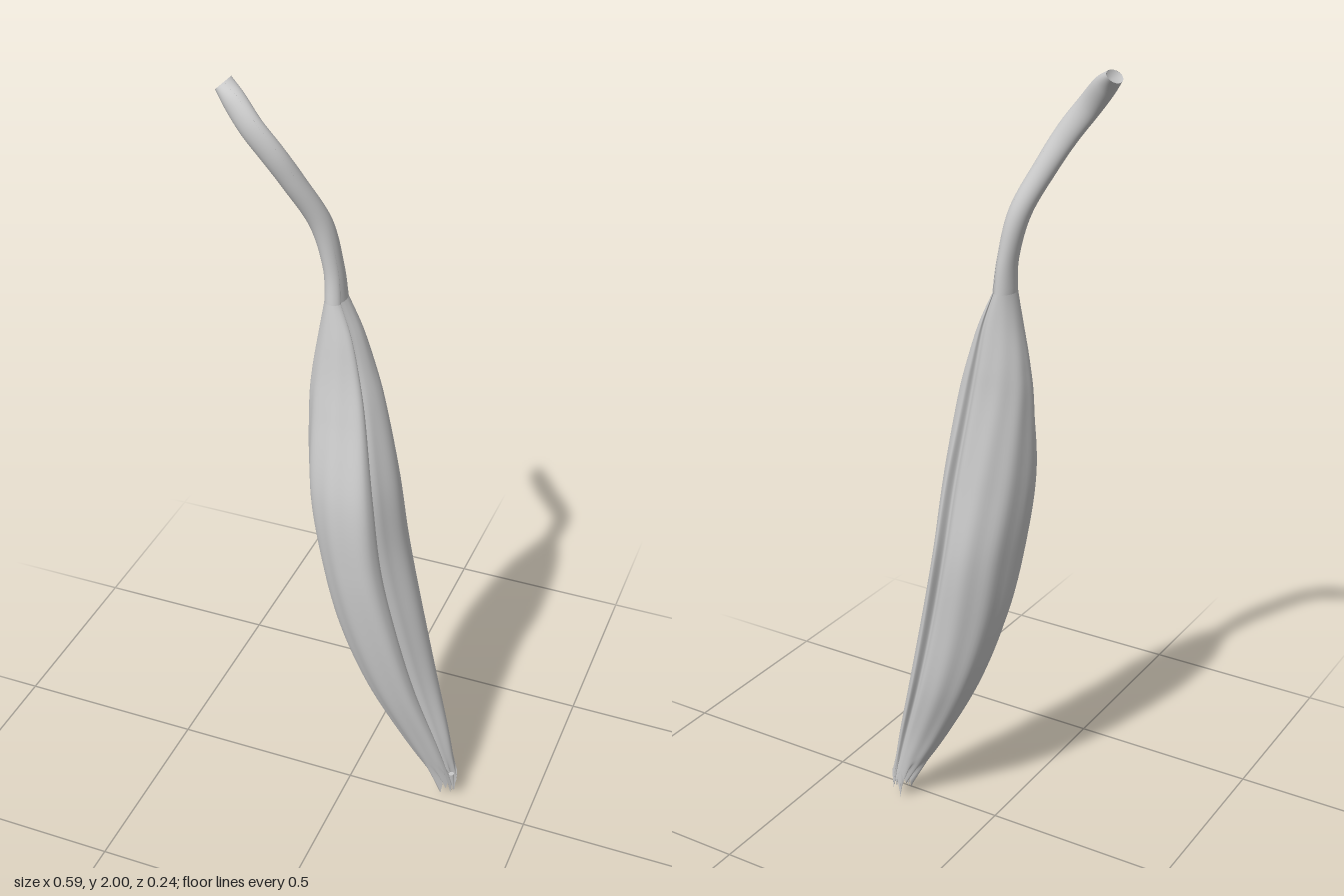
import * as THREE from 'three';

const material = new THREE.MeshStandardMaterial({ color: 0xcccccc, side: THREE.DoubleSide });
const COLS = 96;

// Closed outline of the husk (x, z in -1..1): front lip, groove, side face, rear seam
const huskCurve = new THREE.CatmullRomCurve3([
  [-1, 0.05], [-0.8, 0.6], [-0.35, 0.92], [0.25, 1], [0.72, 0.86], [0.82, 0.62],
  [0.52, 0.38], [0.76, 0.1], [1, -0.3], [0.96, -0.78], [0.74, -0.96], [0.58, -0.8],
  [0.3, -1], [-0.3, -0.92], [-0.8, -0.55],
].map(([x, z]) => new THREE.Vector3(x, 0, z)), true, 'centripetal');

const outline = [];
for (let j = 0; j < COLS; j++) {
  const p = huskCurve.getPoint(j / COLS);
  const a = Math.atan2(p.z, p.x);
  outline.push({ x: p.x, z: p.z, a });
}

// Sections from top to bottom: y, x min, x max, z min, z max, tilt, husk amount
const stemRows = [
  [1.984, -0.300, -0.272, -0.008, 0.052, 0.9, 0],
  [1.955, -0.272, -0.232, 0.015, 0.066, 0.95, 0],
  [1.905, -0.230, -0.185, 0.032, 0.075, 0.85, 0],
  [1.845, -0.187, -0.139, 0.020, 0.067, 0.7, 0],
  [1.775, -0.150, -0.101, -0.008, 0.046, 0.5, 0],
  [1.670, -0.104, -0.053, -0.048, 0.010, 0.25, 0],
  [1.560, -0.077, -0.031, -0.062, 0.000, 0.05, 0.1],
  [1.480, -0.072, -0.022, -0.066, 0.008, 0, 0.35],
];
const podRows = [
  stemRows[7],
  [1.40, -0.085, 0.015, -0.070, 0.024, 0, 0.65],
  [1.30, -0.100, 0.045, -0.076, 0.042, 0, 0.9],
  [1.20, -0.105, 0.070, -0.082, 0.066, 0, 1],
  [1.00, -0.097, 0.108, -0.102, 0.117, 0, 1],
  [0.80, -0.067, 0.132, -0.120, 0.125, 0, 1],
  [0.60, -0.025, 0.172, -0.114, 0.109, 0, 1],
  [0.40, 0.045, 0.215, -0.103, 0.076, 0, 1],
  [0.20, 0.148, 0.266, -0.074, 0.027, 0, 1],
  [0.05, 0.243, 0.293, -0.062, -0.012, 0, 0.8],
];

// Smoothly interpolates every value of the section rows
function sample(rows, t) {
  const f = t * (rows.length - 1);
  const i = Math.min(Math.floor(f), rows.length - 2);
  const at = (k) => rows[Math.max(0, Math.min(rows.length - 1, k))];
  const w = f - i;
  return rows[0].map((_, k) => {
    const [p0, p1, p2, p3] = [at(i - 1)[k], at(i)[k], at(i + 1)[k], at(i + 2)[k]];
    const m1 = (p2 - p0) / 2, m2 = (p3 - p1) / 2;
    return p1 + w * (m1 + w * (3 * (p2 - p1) - 2 * m1 - m2 + w * (2 * (p1 - p2) + m1 + m2)));
  });
}

// Skins the sections into one smooth surface
function loft(name, rows, steps, ragged) {
  const pos = [], index = [];
  for (let i = 0; i <= steps; i++) {
    const t = i / steps;
    const [y, x0, x1, z0, z1, tilt, husk] = sample(rows, t);
    const rx = (x1 - x0) / 2, rz = (z1 - z0) / 2;
    outline.forEach(({ x, z, a }, j) => {
      // lengthwise wrinkles that drift slowly around the husk
      const ripple = 1 - husk * 0.018 * (1 + Math.sin(9 * a + 3 * y + Math.sin(5 * y)));
      const u = THREE.MathUtils.lerp(Math.cos(a), x * ripple, husk) * rx;
      const v = THREE.MathUtils.lerp(Math.sin(a), z * ripple, husk) * rz;
      // torn lower rim
      const tear = ragged * Math.max(0, t - 0.93) / 0.07 * (0.02 * Math.sin(j * 0.9) + 0.015 * Math.sin(j * 0.37));
      pos.push((x0 + x1) / 2 + u, y + tilt * u + tear, (z0 + z1) / 2 + v);
      if (i < steps) {
        const p = i * COLS + j, q = i * COLS + (j + 1) % COLS;
        index.push(p, p + COLS, q, q, p + COLS, q + COLS);
      }
    });
  }
  const geometry = new THREE.BufferGeometry();
  geometry.setAttribute('position', new THREE.Float32BufferAttribute(pos, 3));
  geometry.setIndex(index);
  geometry.computeVertexNormals();
  const mesh = new THREE.Mesh(geometry, material);
  mesh.name = name;
  return mesh;
}

// Thin torn fibre hanging from the lower rim
function fibre(from, to, radius) {
  const a = new THREE.Vector3(...from), d = new THREE.Vector3(...to).sub(a);
  const geometry = new THREE.ConeGeometry(radius, d.length(), 6);
  geometry.translate(0, d.length() / 2, 0);
  const mesh = new THREE.Mesh(geometry, material);
  mesh.position.copy(a);
  mesh.quaternion.setFromUnitVectors(new THREE.Vector3(0, 1, 0), d.normalize());
  mesh.name = 'fibre';
  return mesh;
}

export function createModel() {
  const group = new THREE.Group();
  group.name = 'driedPod';
  group.add(loft('stem', stemRows, 56, 0), loft('husk', podRows, 110, 1));

  // Sunken cut face closing the stem tip
  const [y, x0, x1, z0, z1, tilt] = stemRows[0];
  const cut = new THREE.CircleGeometry(1, 24).rotateX(-Math.PI / 2);
  const p = cut.attributes.position;
  for (let i = 0; i < p.count; i++) {
    const u = p.getX(i) * (x1 - x0) / 2;
    const dip = i === 0 ? 0.008 : 0;
    p.setXYZ(i, (x0 + x1) / 2 + u + dip, y + tilt * u - dip, (z0 + z1) / 2 + p.getZ(i) * (z1 - z0) / 2);
  }
  cut.computeVertexNormals();
  const stemCut = new THREE.Mesh(cut, material);
  stemCut.name = 'stemCut';
  group.add(stemCut);

  // Frayed fibres at the lower end
  const fibres = new THREE.Group();
  fibres.name = 'frayedEnd';
  fibres.add(
    fibre([0.255, 0.09, -0.058], [0.262, 0.0, -0.066], 0.007),
    fibre([0.285, 0.09, -0.022], [0.294, 0.03, -0.02], 0.008),
    fibre([0.255, 0.09, -0.03], [0.258, 0.02, -0.028], 0.008),
    fibre([0.275, 0.09, -0.045], [0.277, 0.035, -0.048], 0.008),
  );
  group.add(fibres);
  return group;
}
